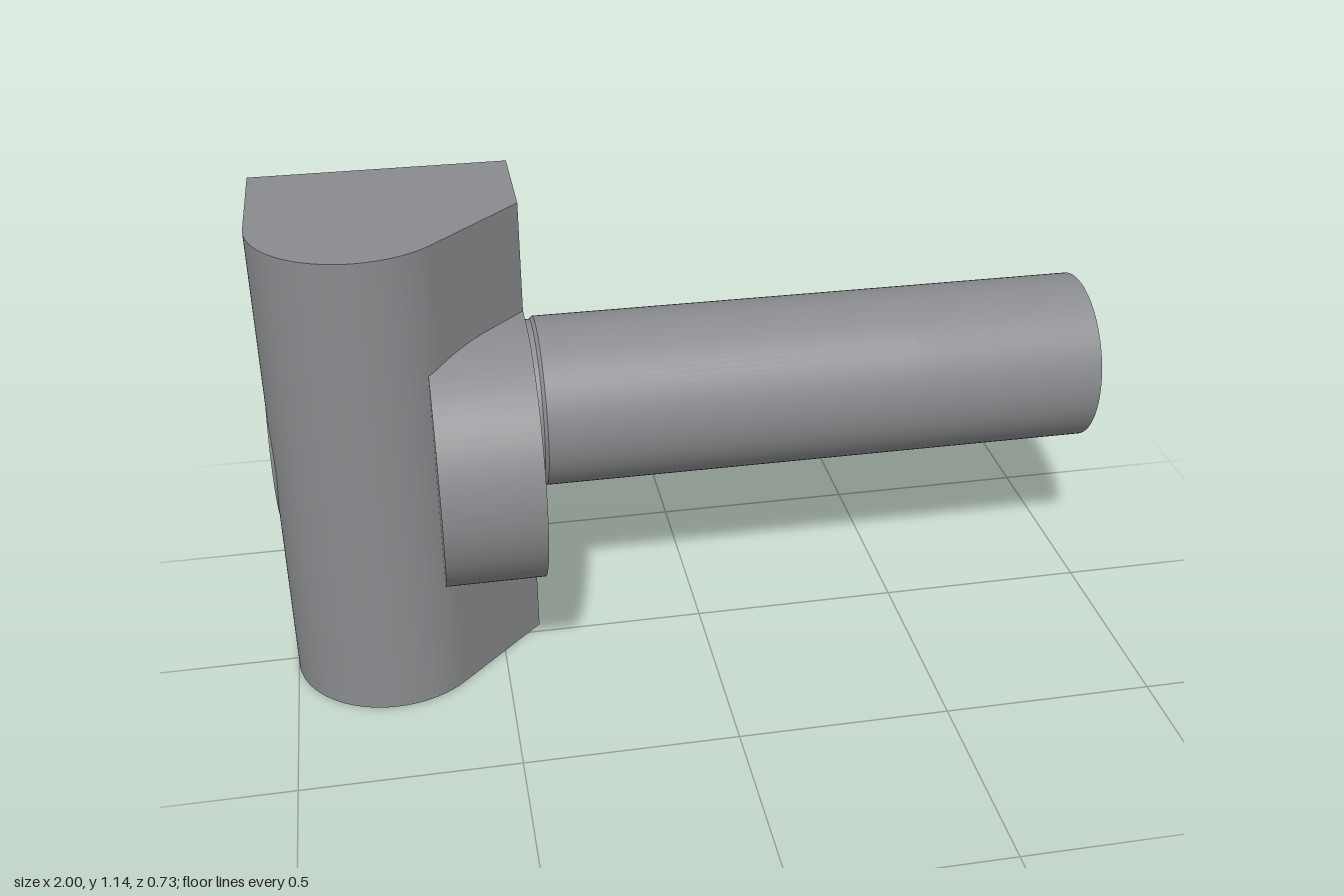
import * as THREE from 'three';
import { toCreasedNormals } from 'three/addons/utils/BufferGeometryUtils.js';

const AXIS_Y = 0.57, ROD_Z = -0.16, BACK = -0.365;

export function createModel() {
  const group = new THREE.Group();
  const steel = new THREE.MeshStandardMaterial({ color: 0x8a8b8e });
  steel.name = 'grey steel';

  const add = (name, geometry) => {
    const mesh = new THREE.Mesh(toCreasedNormals(geometry, 0.5), steel);
    mesh.name = name;
    group.add(mesh);
  };

  // Extrudes a (-z, y) profile along x
  const alongX = (shape, x0, x1) =>
    new THREE.ExtrudeGeometry(shape, { depth: x1 - x0, bevelEnabled: false, curveSegments: 48 })
      .rotateY(Math.PI / 2).translate(x0, 0, 0);

  // Upright body: round front, slanted cheek, flat back
  const plan = new THREE.Shape();
  plan.moveTo(-1, 0.3);
  plan.lineTo(-1, -0.01);
  plan.absarc(-0.77, -0.01, 0.23, Math.PI, Math.PI * 1.75, false);
  plan.lineTo(-0.405, 0.03);
  plan.lineTo(-0.405, 0.3);
  plan.closePath();
  add('body', new THREE.ExtrudeGeometry(plan, { depth: 1.14, bevelEnabled: false, curveSegments: 40 })
    .rotateX(-Math.PI / 2));

  // Chamfered pad on the back
  add('backPad', alongX(new THREE.Shape([
    [0.25, 0.17], [0.3, 0.17], [0.327, 0.195], [0.327, 0.945], [0.3, 0.97], [0.25, 0.97],
  ].map(([u, v]) => new THREE.Vector2(u, v))), -1, -0.405));

  // Half-round boss on the slanted cheek
  const boss = new THREE.Shape();
  boss.moveTo(0.03, AXIS_Y + 0.305);
  boss.lineTo(-0.06, AXIS_Y + 0.305);
  boss.absarc(-0.06, AXIS_Y, 0.305, Math.PI / 2, Math.PI * 1.5, false);
  boss.lineTo(0.03, AXIS_Y - 0.305);
  boss.closePath();
  add('boss', alongX(boss, -0.635, -0.405));

  // Sleeve through the body, flattened at the back
  const cut = Math.acos((-BACK + ROD_Z) / 0.23);
  const sleeve = new THREE.Shape();
  sleeve.absarc(-ROD_Z, AXIS_Y, 0.23, cut, Math.PI * 2 - cut, false);
  sleeve.closePath();
  add('sleeve', alongX(sleeve, -1, -0.4));

  // Rod with a neck groove, and a flat ramped into its back near the tip
  const profile = [
    [0, -0.42], [0.2, -0.42], [0.2, -0.375], [0.207, -0.367],
    [0.207, 0.54], [0.207, 0.58], [0.207, 1], [0, 1],
  ].map(([r, x]) => new THREE.Vector2(r, x));
  const rod = new THREE.LatheGeometry(profile, 96)
    .rotateZ(-Math.PI / 2).translate(0, AXIS_Y, ROD_Z);
  const p = rod.attributes.position;
  for (let i = 0; i < p.count; i++) {
    const limit = p.getX(i) > 0.56 ? -0.324 : BACK;
    p.setZ(i, Math.max(p.getZ(i), limit));
  }
  add('rod', rod);

  return group;
}
